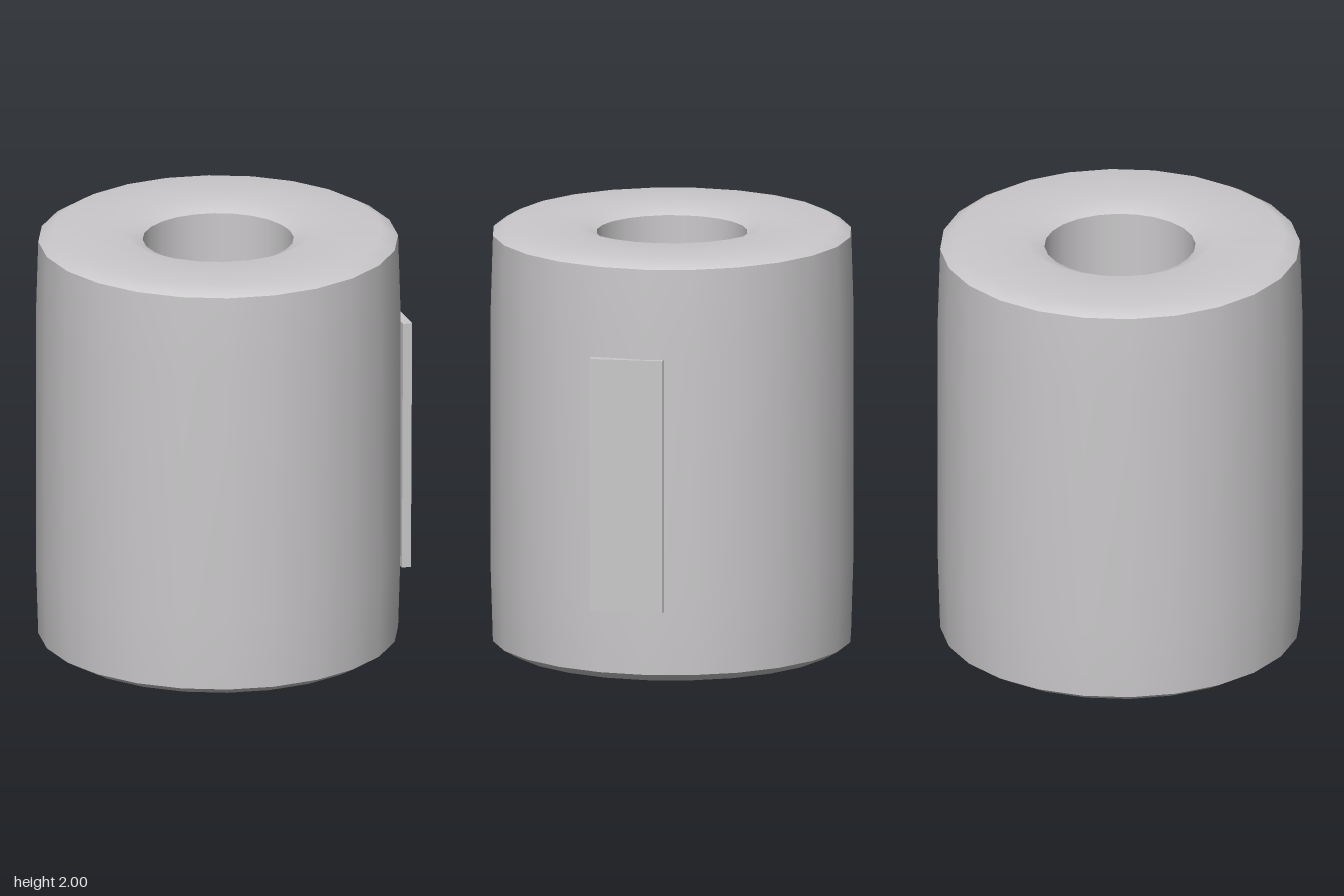
import * as THREE from 'three';

const SIDES = 24;

export function createModel() {
  const group = new THREE.Group();
  const paper = new THREE.MeshStandardMaterial({ color: 0xcbc9cb });
  paper.name = 'paper grey';

  const roll = new THREE.Group();
  roll.name = 'roll';
  roll.position.x = -0.01;
  group.add(roll);

  // Each surface is its own lathe, so the rims stay sharp between them
  const surface = (name, profile) => {
    const points = profile.map(([r, y]) => new THREE.Vector2(r, y));
    const mesh = new THREE.Mesh(new THREE.LatheGeometry(points, SIDES), paper);
    mesh.name = name;
    roll.add(mesh);
  };

  // Slightly barrelled outside
  surface('outerWall', [[0.834, 0.04], [0.845, 0.4], [0.845, 1.6], [0.834, 1.96]]);

  // Ends with softened outer and inner rims
  const end = [[0.834, 1.96], [0.765, 2], [0.44, 2], [0.35, 1.96]];
  surface('topEnd', end);
  surface('bottomEnd', end.map(([r, y]) => [r, 2 - y]).reverse());

  // Hollow core
  surface('coreWall', [[0.35, 1.96], [0.35, 0.04]]);

  // Loose end flap on the side, leaning out a little towards the top
  const flap = new THREE.Mesh(new THREE.BoxGeometry(0.044, 1.195, 0.34), paper);
  flap.name = 'sheetFlap';
  flap.position.set(0.826, 0.9375, 0.085);
  flap.rotation.z = -0.005;
  group.add(flap);

  return group;
}
